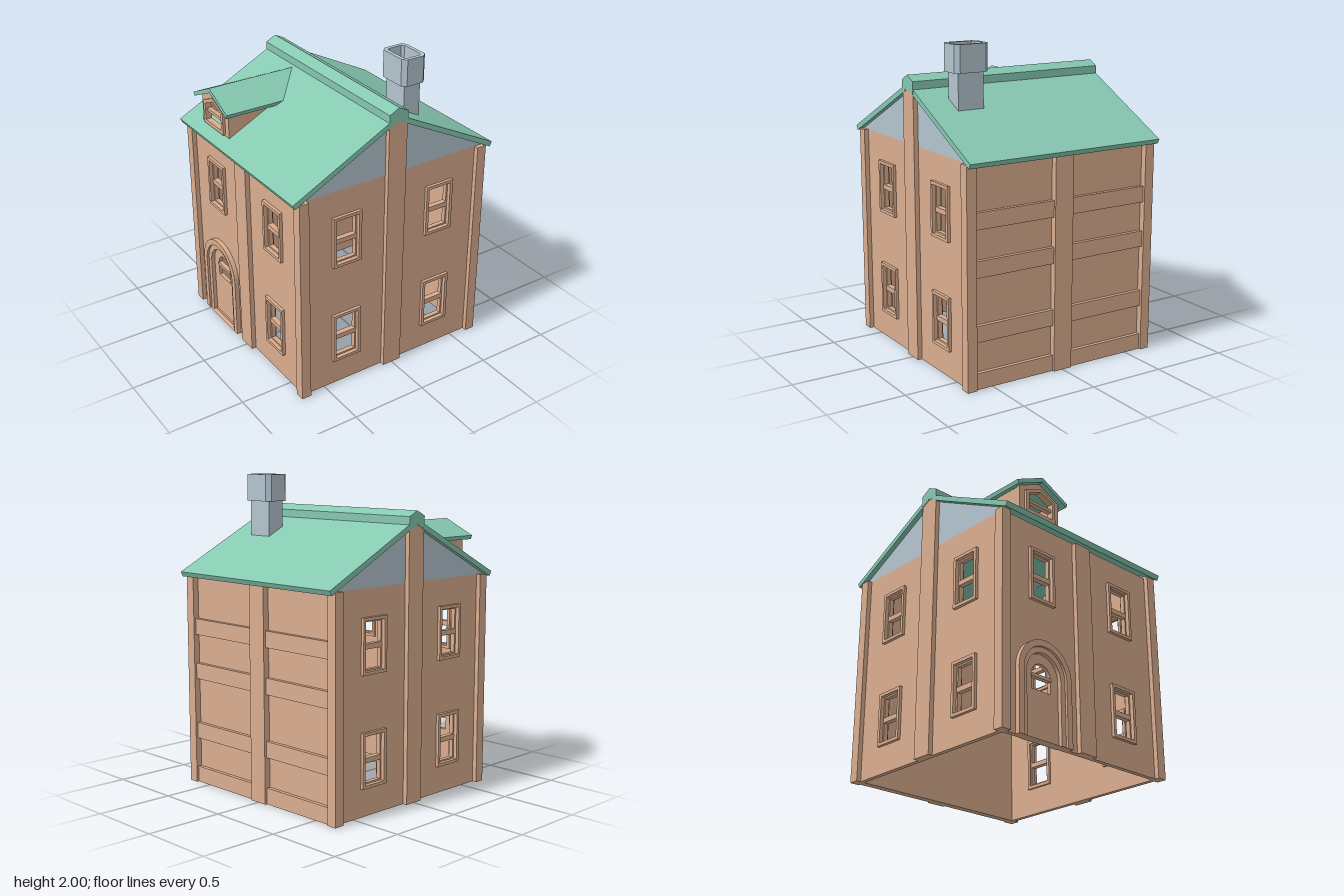
import * as THREE from 'three';

const mat = (color) => new THREE.MeshStandardMaterial({ color, flatShading: true, side: THREE.DoubleSide });

export function createModel() {
  const house = new THREE.Group();
  house.name = 'house';
  const tan = mat(0xd9ad8f), green = mat(0x86c8b1), grey = mat(0xb4c4cf);

  const add = (parent, name, geo, material) => {
    const m = new THREE.Mesh(geo, material);
    m.name = name;
    parent.add(m);
    return m;
  };
  // Box given by its low and high corners
  const box = (parent, name, material, x0, x1, y0, y1, z0, z1) => {
    const m = add(parent, name, new THREE.BoxGeometry(x1 - x0, y1 - y0, z1 - z0), material);
    m.position.set((x0 + x1) / 2, (y0 + y1) / 2, (z0 + z1) / 2);
    return m;
  };
  const poly = (pts) => new THREE.Shape(pts.map(([x, y]) => new THREE.Vector2(x, y)));
  const rect = (x0, x1, y0, y1) => poly([[x0, y0], [x1, y0], [x1, y1], [x0, y1]]);
  const arch = (cx, r, y0, spring) => {
    const s = new THREE.Shape();
    s.moveTo(cx - r, y0);
    s.lineTo(cx + r, y0);
    s.lineTo(cx + r, spring);
    s.absarc(cx, spring, r, 0, Math.PI, false);
    s.lineTo(cx - r, y0);
    return s;
  };
  // Plate between two depths, with openings
  const plate = (shape, z0, z1, holes = []) => {
    shape.holes.push(...holes);
    return new THREE.ExtrudeGeometry(shape, { depth: z1 - z0, bevelEnabled: false, curveSegments: 10 })
      .translate(0, 0, z0);
  };

  // Sash window: stepped frame and meeting rail
  const addWindow = (parent, x, y) => {
    const g = new THREE.Group();
    g.name = 'window';
    g.position.set(x, y, 0);
    parent.add(g);
    add(g, 'windowFrame', plate(rect(-0.1, 0.1, -0.17, 0.17), 0.605, 0.67, [rect(-0.08, 0.08, -0.15, 0.15)]), tan);
    add(g, 'windowSash', plate(rect(-0.085, 0.085, -0.155, 0.155), 0.615, 0.645, [rect(-0.07, 0.07, -0.14, 0.14)]), tan);
    box(g, 'windowRail', tan, -0.075, 0.075, -0.02, 0.012, 0.615, 0.65);
  };

  // Arched doorway: two stepped arches around a door with an arched light
  const addDoor = (parent, x) => {
    const g = new THREE.Group();
    g.name = 'door';
    parent.add(g);
    add(g, 'doorOuterArch', plate(arch(x, 0.21, 0, 0.4), 0.62, 0.68, [arch(x, 0.17, 0, 0.4)]), tan);
    add(g, 'doorInnerArch', plate(arch(x, 0.175, 0, 0.4), 0.62, 0.665, [arch(x, 0.135, 0, 0.4)]), tan);
    add(g, 'doorPanel', plate(arch(x, 0.14, 0, 0.4), 0.615, 0.64, [arch(x, 0.075, 0.31, 0.4)]), tan);
    box(g, 'doorLightBar', tan, x - 0.08, x + 0.08, 0.385, 0.405, 0.615, 0.645);
  };

  // A wall facing +z, turned to its side
  const side = (name, angle) => {
    const g = new THREE.Group();
    g.name = name;
    g.rotation.y = angle;
    house.add(g);
    return g;
  };
  const winHole = ([x, y]) => rect(x - 0.085, x + 0.085, y - 0.155, y + 0.155);
  const four = [[-0.34, 0.345], [0.34, 0.345], [-0.34, 1.03], [0.34, 1.03]];

  // Gabled front and back
  for (const [name, angle] of [['frontWall', 0], ['backWall', Math.PI]]) {
    const g = side(name, angle);
    add(g, 'wall', plate(rect(-0.64, 0.64, 0, 1.37), 0.62, 0.65, four.map(winHole)), tan);
    four.forEach(([x, y]) => addWindow(g, x, y));
    add(g, 'gable', plate(poly([[-0.69, 1.37], [0.69, 1.37], [0, 1.725]]), 0.62, 0.65), grey);
    add(g, 'centrePilaster', plate(poly([[-0.065, 0], [0.065, 0], [0.065, 1.69], [0, 1.73], [-0.065, 1.69]]), 0.62, 0.68), tan);
  }

  // Door side
  const left = side('doorWall', -Math.PI / 2);
  const three = four.slice(1);
  add(left, 'wall', plate(rect(-0.63, 0.63, 0, 1.37), 0.62, 0.65, [...three.map(winHole), arch(-0.34, 0.15, 0.005, 0.4)]), tan);
  three.forEach(([x, y]) => addWindow(left, x, y));
  addDoor(left, -0.34);
  box(left, 'centrePilaster', tan, -0.065, 0.065, 0, 1.36, 0.62, 0.68);

  // Blind side with horizontal bands
  const right = side('bandedWall', Math.PI / 2);
  box(right, 'wall', tan, -0.63, 0.63, 0, 1.37, 0.615, 0.64);
  box(right, 'centrePilaster', tan, -0.065, 0.065, 0, 1.36, 0.62, 0.68);
  for (const y of [0, 0.295, 0.69, 0.98])
    for (const x of [-0.62, 0.065]) box(right, 'band', tan, x, x + 0.555, y, y + 0.103, 0.62, 0.665);

  // Corner posts
  for (const sx of [-1, 1])
    for (const sz of [-1, 1]) {
      box(house, 'cornerPost', tan, -0.0325, 0.0325, 0, 1.37, -0.0325, 0.0325)
        .position.set(sx * 0.6475, 0.685, sz * 0.6475);
    }

  // Main roof and ridge cap
  const roofProfile = poly([[-0.71, 1.355], [0, 1.717], [0.71, 1.355], [0.725, 1.385], [0, 1.753], [-0.725, 1.385]]);
  add(house, 'roof', plate(roofProfile, -0.682, 0.682), green);
  add(house, 'ridgeCap', plate(poly([[-0.067, 1.69], [0, 1.725], [0.067, 1.69], [0.067, 1.768], [0, 1.802], [-0.067, 1.768]]), -0.683, 0.683), green);

  // Dormer, facing -x; its parts end where they meet the main roof
  const dormer = new THREE.Group();
  dormer.name = 'dormer';
  dormer.rotation.y = -Math.PI / 2;
  dormer.position.z = -0.342;
  house.add(dormer);
  const dormerRoof = plate(poly([[-0.205, 1.585], [0, 1.68], [0.205, 1.585], [0.213, 1.61], [0, 1.711], [-0.213, 1.61]]), 0.08, 0.68);
  const p = dormerRoof.attributes.position;
  for (let i = 0; i < p.count; i++)
    if (p.getZ(i) < 0.3) p.setZ(i, (1.753 - p.getY(i)) / 0.5076);
  dormerRoof.computeVertexNormals();
  add(dormer, 'dormerRoof', dormerRoof, green);
  const house5 = (w, y0, y1, top) => poly([[-w, y0], [w, y0], [w, y1], [0, top], [-w, y1]]);
  add(dormer, 'dormerFront', plate(house5(0.165, 1.41, 1.61, 1.686), 0.62, 0.645, [house5(0.1, 1.455, 1.575, 1.62)]), tan);
  add(dormer, 'dormerWindowFrame', plate(house5(0.122, 1.435, 1.585, 1.64), 0.62, 0.662, [house5(0.098, 1.46, 1.572, 1.615)]), tan);
  box(dormer, 'dormerWindowRail', tan, -0.1, 0.1, 1.515, 1.535, 0.62, 0.65);
  for (const s of [-1, 1]) {
    const cheek = plate(poly([[-0.645, 1.41], [-0.29, 1.6], [-0.645, 1.6]]), -0.01, 0.01);
    const m = add(dormer, 'dormerCheek', cheek, tan);
    m.rotation.y = Math.PI / 2;
    m.position.x = s * 0.155;
  }

  // Chimney shaft and hollow pot with chamfered corners
  const chimney = new THREE.Group();
  chimney.name = 'chimney';
  chimney.position.set(0.23, 0, 0.41);
  house.add(chimney);
  box(chimney, 'chimneyShaft', grey, -0.058, 0.058, 1.59, 1.85, -0.088, 0.088);
  const chamfered = (a, b, c) => poly([[-a + c, -b], [a - c, -b], [a, -b + c], [a, b - c], [a - c, b], [-a + c, b], [-a, b - c], [-a, -b + c]]);
  const upright = (geo) => geo.rotateX(-Math.PI / 2);
  add(chimney, 'chimneyPot', upright(plate(chamfered(0.085, 0.115, 0.026), 1.83, 2, [chamfered(0.06, 0.09, 0.014)])), grey);
  add(chimney, 'chimneyPotFloor', upright(plate(chamfered(0.08, 0.11, 0.026), 1.831, 1.855)), grey);

  return house;
}
